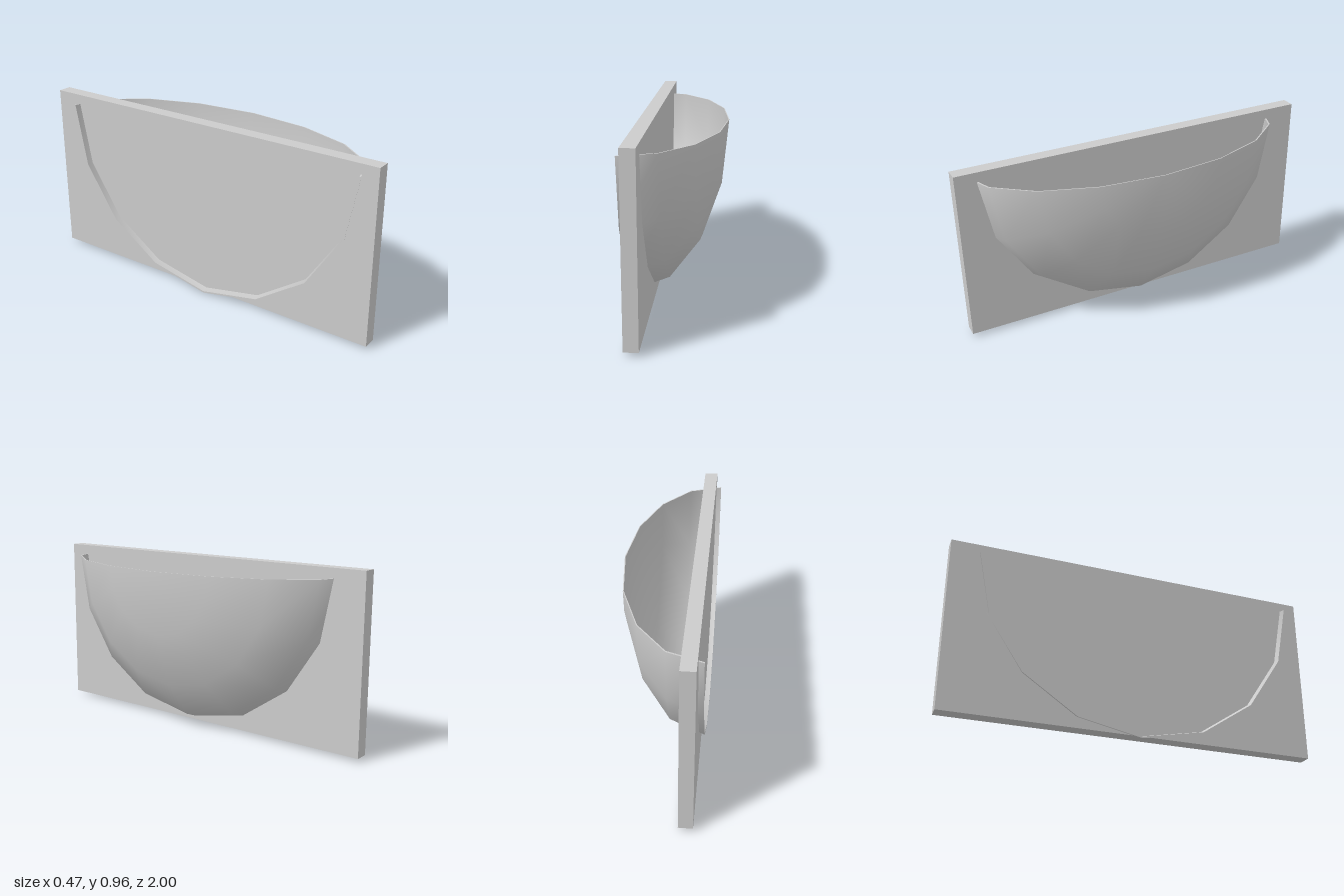
import * as THREE from 'three';

const CENTER = [-0.235, 0.905, 0.03]; // centre of the bowl's open rim
const RADII = [0.467, 0.902, 0.895];
const INNER = 0.99; // inner wall relative to the outer wall

export function createModel() {
  const group = new THREE.Group();
  const material = (side = THREE.FrontSide) =>
    new THREE.MeshStandardMaterial({ color: 0xcccccc, side });

  // Upright rectangular board
  const board = new THREE.Mesh(new THREE.BoxGeometry(0.073, 0.936, 2), material());
  board.name = 'backBoard';
  board.position.set(-0.171, 0.49, 0);
  group.add(board);

  // Quarter-ellipsoid bowl, passing slightly through the board
  const bowl = new THREE.Group();
  bowl.name = 'bowl';
  const addPart = (name, geometry, side) => {
    geometry.scale(...RADII).translate(...CENTER);
    const mesh = new THREE.Mesh(geometry, material(side));
    mesh.name = name;
    bowl.add(mesh);
  };

  // Walls: the pole of the sphere points along +x
  const quarterSphere = (radius) =>
    new THREE.SphereGeometry(radius, 8, 4, 0, Math.PI, 0, Math.PI / 2)
      .rotateZ(-Math.PI / 2)
      .rotateX(Math.PI / 2);
  addPart('outerWall', quarterSphere(1), THREE.FrontSide);
  addPart('innerWall', quarterSphere(INNER), THREE.BackSide);

  // Thin rims closing the wall thickness
  addPart('topRim',
    new THREE.RingGeometry(INNER, 1, 8, 1, -Math.PI / 2, Math.PI).rotateX(-Math.PI / 2),
    THREE.DoubleSide);
  addPart('backRim',
    new THREE.RingGeometry(INNER, 1, 8, 1, Math.PI, Math.PI).rotateY(-Math.PI / 2),
    THREE.DoubleSide);

  group.add(bowl);
  return group;
}
